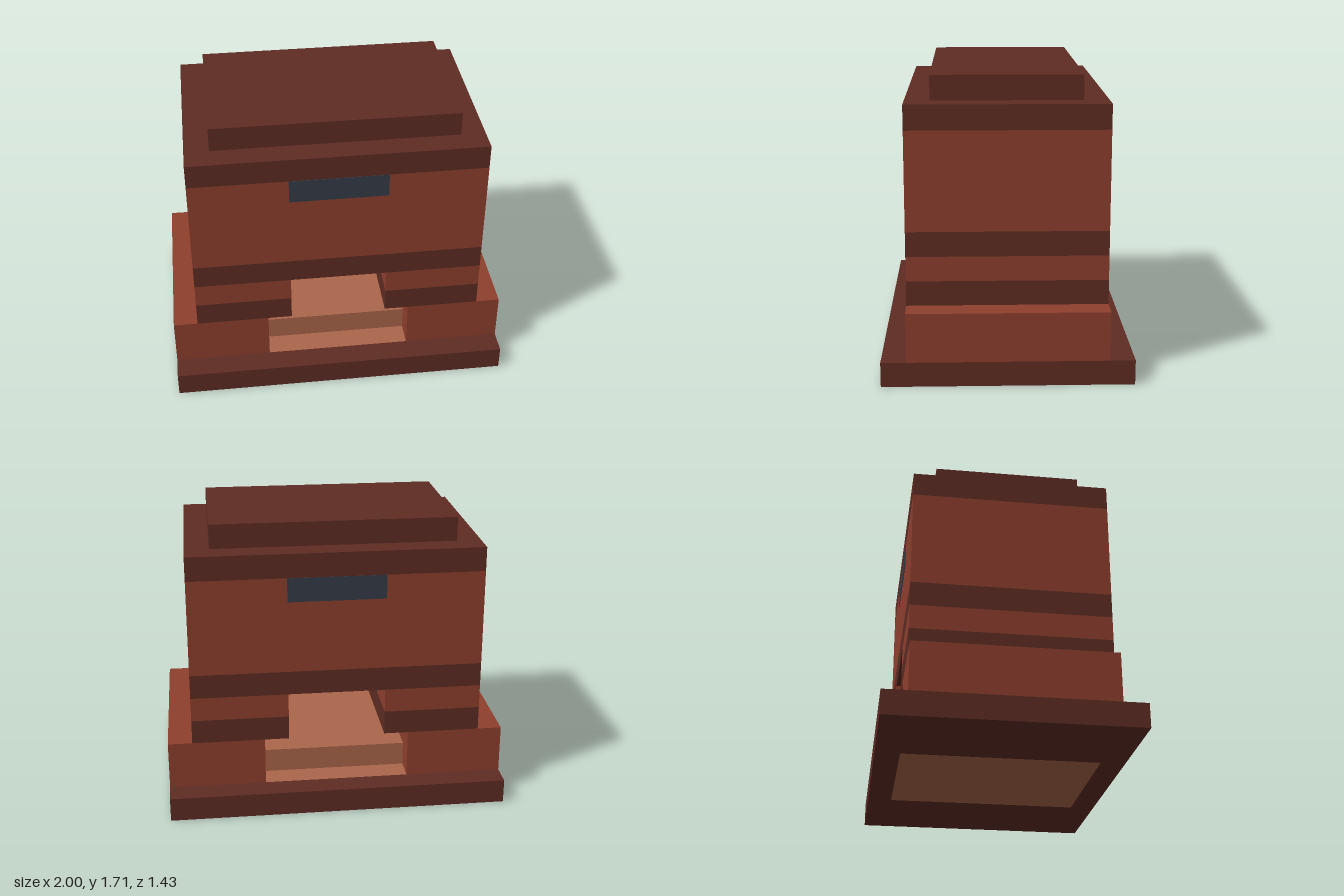
import * as THREE from 'three';

const U = 1 / 7; // building grid unit

export function createModel() {
  const model = new THREE.Group();
  model.name = 'building';

  const mat = (name, color) => {
    const m = new THREE.MeshStandardMaterial({ color });
    m.name = name;
    return m;
  };
  const dark = mat('darkTrim', 0x5e2c23);
  const brick = mat('redBrick', 0x8e3f2d);
  const clay = mat('lightClay', 0xab664b);
  const slate = mat('slateBlue', 0x363d48);

  // Box spanning x0..x1, y0..y1, z0..z1 in grid units
  function box(name, material, x0, x1, y0, y1, z0, z1) {
    const mesh = new THREE.Mesh(
      new THREE.BoxGeometry((x1 - x0) * U, (y1 - y0) * U, (z1 - z0) * U), material);
    mesh.position.set((x0 + x1) / 2 * U, (y0 + y1) / 2 * U, (z0 + z1) / 2 * U);
    mesh.name = name;
    model.add(mesh);
    return mesh;
  }

  // Base frame with a rectangular opening
  const outline = new THREE.Shape([[-7, -5], [7, -5], [7, 5], [-7, 5]]
    .map(([x, z]) => new THREE.Vector2(x * U, z * U)));
  outline.holes.push(new THREE.Path([[-3, -4], [-3, 4], [3, 4], [3, -4]]
    .map(([x, z]) => new THREE.Vector2(x * U, z * U))));
  const frameGeometry = new THREE.ExtrudeGeometry(outline, { depth: U, bevelEnabled: false });
  frameGeometry.rotateX(-Math.PI / 2);
  const frame = new THREE.Mesh(frameGeometry, dark);
  frame.name = 'baseFrame';
  model.add(frame);

  // Clay floor in the opening and the raised step on it
  box('hearthFloor', clay, -3, 3, 0, 1, -4, 4);
  box('hearthStep', clay, -3, 3, 1, 2, -3, 3);

  // Mirrored supports: wide plinth, trim band, brick leg
  for (const [side, s] of [['left', 1], ['right', -1]]) {
    const span = (a, b) => (s > 0 ? [a, b] : [-b, -a]);
    box(side + 'Plinth', brick, ...span(3, 7), 1, 3, -4, 4);
    box(side + 'LegTrim', dark, ...span(2, 6), 3, 4, -4, 4);
    box(side + 'Leg', brick, ...span(2, 6), 4, 5, -4, 4);
    // Slot on the inner face of the leg
    box(side + 'InnerSlot', slate, ...span(1.98, 2.01), 4, 5, -2, 2);
  }

  // Body between two trim bands, stepped lid above
  box('lowerBand', dark, -6, 6, 5, 6, -4, 4);
  box('body', brick, -6, 6, 6, 10, -4, 4);
  box('upperBand', dark, -6, 6, 10, 11, -4, 4);
  box('lid', dark, -5, 5, 11, 12, -3, 3);

  // Slots on front and back
  box('frontSlot', slate, -2, 2, 9, 10, 3.99, 4.02);
  box('backSlot', slate, -2, 2, 9, 10, -4.02, -3.99);

  return model;
}
